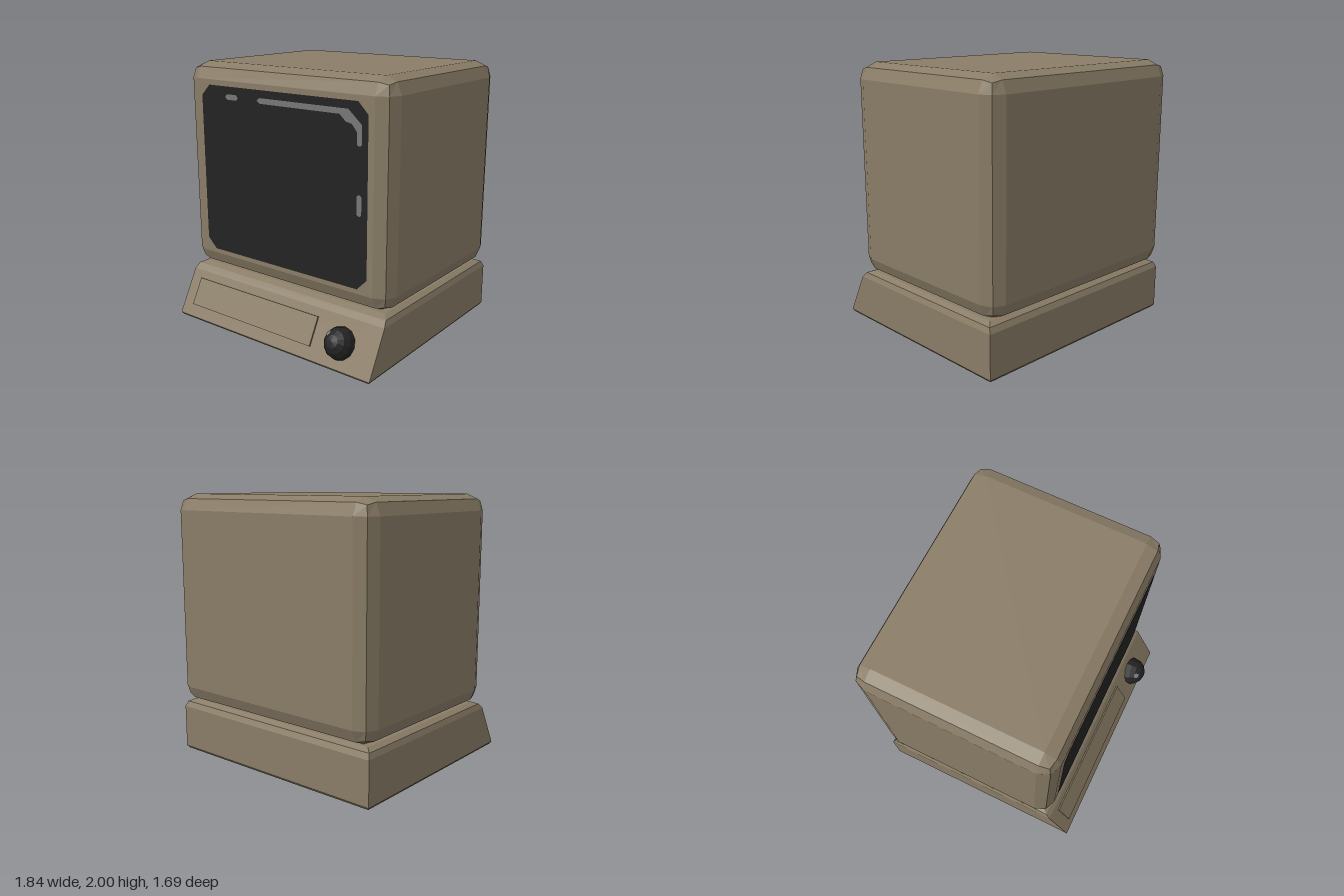
import * as THREE from 'three';

const FACE_TILT = 0.489; // backward lean of the base front
const faceZ = (y) => 0.81 - (y - 0.02) * 0.532;

function material(name, color, extra = {}) {
  const m = new THREE.MeshStandardMaterial({ color, flatShading: true, ...extra });
  m.name = name;
  return m;
}

// Box whose edges are rounded by two facets
function facetedBox(w, h, d, r) {
  const geo = new THREE.BoxGeometry(w, h, d, 3, 3, 3);
  const half = [w / 2, h / 2, d / 2];
  const p = geo.attributes.position;
  for (let i = 0; i < p.count; i++) {
    const v = [p.getX(i), p.getY(i), p.getZ(i)];
    const dir = new THREE.Vector3(...v.map((c, k) => (Math.abs(c) > half[k] - 1e-4 ? Math.sign(c) : 0)));
    dir.normalize().multiplyScalar(r);
    const core = v.map((c, k) => Math.sign(c) * (half[k] - r));
    p.setXYZ(i, core[0] + dir.x, core[1] + dir.y, core[2] + dir.z);
  }
  geo.computeVertexNormals();
  return geo;
}

// Open-bottomed shell from rectangular rings [y, halfWidth, frontZ, backZ]
function ringShell(rings) {
  const pos = [], idx = [];
  for (const [y, hx, zf, zb] of rings) {
    pos.push(hx, y, zf, hx, y, zb, -hx, y, zb, -hx, y, zf);
  }
  for (let r = 0; r < rings.length - 1; r++) {
    for (let k = 0; k < 4; k++) {
      const a = r * 4 + k, b = r * 4 + ((k + 1) % 4);
      idx.push(a, b, b + 4, a, b + 4, a + 4);
    }
  }
  const t = (rings.length - 1) * 4;
  idx.push(t, t + 1, t + 2, t, t + 2, t + 3);
  const indexed = new THREE.BufferGeometry();
  indexed.setAttribute('position', new THREE.Float32BufferAttribute(pos, 3));
  indexed.setIndex(idx);
  const geo = indexed.toNonIndexed();
  geo.computeVertexNormals();
  return geo;
}

function flatShape(points) {
  return new THREE.ShapeGeometry(new THREE.Shape(points.map(([x, y]) => new THREE.Vector2(x, y))));
}

// Rectangle outline with cut corners
function cutRect(x0, x1, y0, y1, c) {
  return [[x0 + c, y0], [x1 - c, y0], [x1, y0 + c], [x1, y1 - c],
    [x1 - c, y1], [x0 + c, y1], [x0, y1 - c], [x0, y0 + c]];
}

export function createModel() {
  const model = new THREE.Group();
  model.name = 'retroComputer';
  const casing = material('casing beige', 0x8a7d67, { side: THREE.DoubleSide });
  const black = material('glossy black', 0x232323, { side: THREE.DoubleSide });
  const shine = material('shine grey', 0x797779, { side: THREE.DoubleSide });

  const add = (name, geo, mat, x = 0, y = 0, z = 0) => {
    const mesh = new THREE.Mesh(geo, mat);
    mesh.name = name;
    mesh.position.set(x, y, z);
    model.add(mesh);
    return mesh;
  };

  // Monitor housing
  add('monitorHousing', facetedBox(1.84, 1.595, 1.47, 0.12), casing, 0, 1.2025, -0.115);

  // Screen and its reflections
  add('screen', flatShape(cutRect(-0.755, 0.755, 0.56, 1.84, 0.08)), black, 0, 0, 0.624);
  add('shineDot', flatShape(cutRect(-0.505, -0.385, 1.745, 1.785, 0.015)), shine, 0, 0, 0.629);
  add('shineSide', flatShape(cutRect(0.67, 0.71, 1.08, 1.225, 0.012)), shine, 0, 0, 0.629);
  add('shineCorner', flatShape([
    [-0.2, 1.765], [-0.17, 1.745], [0.53, 1.745], [0.58, 1.7], [0.63, 1.69], [0.67, 1.64],
    [0.67, 1.56], [0.68, 1.55], [0.7, 1.55], [0.71, 1.56], [0.71, 1.69], [0.67, 1.725],
    [0.6, 1.785], [-0.17, 1.785],
  ]), shine, 0, 0, 0.629);

  // Base unit with leaning front and open underside
  add('baseUnit', ringShell([
    [0, 0.9, 0.795, -0.805],
    [0.02, 0.915, 0.81, -0.82],
    [0.345, 0.915, faceZ(0.345), -0.82],
    [0.385, 0.9, 0.6, -0.8],
    [0.405, 0.86, 0.55, -0.76],
  ]), casing);

  // Raised drive panel
  const panel = add('drivePanel', new THREE.BoxGeometry(1.19, 0.215, 0.024), casing, -0.215, 0.195, faceZ(0.195));
  panel.rotation.x = -FACE_TILT;

  // Domed knob with a small reflection
  const knob = add('knob', new THREE.SphereGeometry(0.118, 12, 4, 0, Math.PI * 2, 0, Math.PI / 2),
    black, 0.615, 0.18, faceZ(0.18));
  knob.rotation.x = Math.PI / 2 - FACE_TILT;
  const dir = new THREE.Vector3(-0.06, 0.085, 0.06).normalize();
  const glint = add('knobShine', new THREE.CircleGeometry(0.024, 6), shine);
  glint.position.set(0.615, 0.18, faceZ(0.18)).addScaledVector(dir, 0.119);
  glint.quaternion.setFromUnitVectors(new THREE.Vector3(0, 0, 1), dir);

  return model;
}
